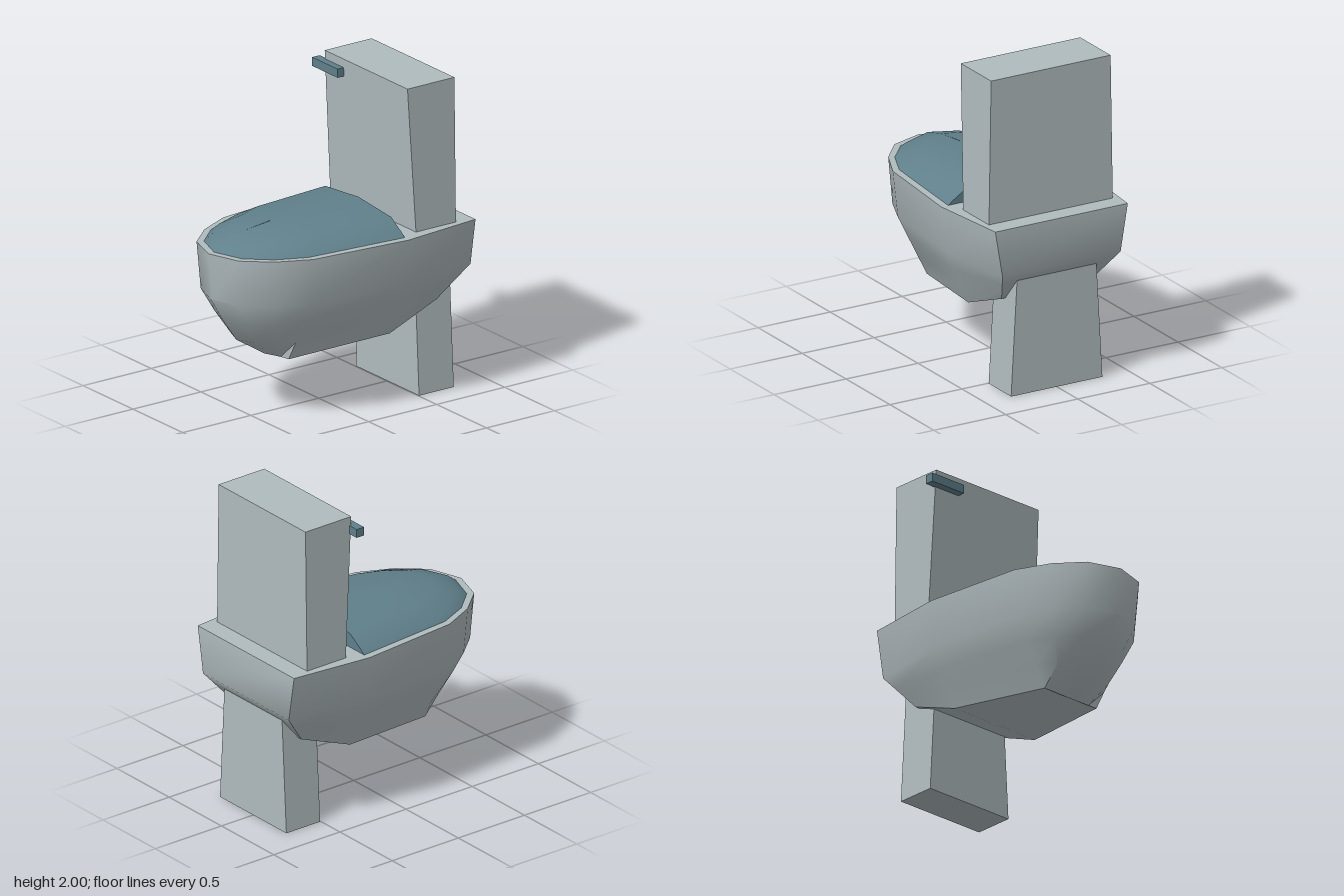
import * as THREE from 'three';
import { toCreasedNormals } from 'three/addons/utils/BufferGeometryUtils.js';

const ceramic = new THREE.MeshStandardMaterial({ color: 0xb0bbbe });
ceramic.name = 'pale ceramic';
const teal = new THREE.MeshStandardMaterial({ color: 0x60808b });
teal.name = 'muted teal';

// Lofts stacked half outlines, top row first. Each row runs from the +x back
// corner to the front centre and is mirrored to the -x side.
function loft(rows, crease) {
  const half = rows[0].length, n = half * 2 - 1;
  const pos = [], index = [];
  for (const row of rows) {
    for (let j = 0; j < n; j++) {
      const [x, y, z] = row[j < half ? j : n - 1 - j];
      pos.push(j < half ? x : -x, y, z);
    }
  }
  const quad = (a, b, c, d) => index.push(a, b, c, a, c, d);
  for (let r = 0; r < rows.length - 1; r++) {
    for (let j = 0; j < n; j++) {
      const k = (j + 1) % n, a = r * n, b = a + n;
      quad(a + j, a + k, b + k, b + j);
    }
  }
  // Caps join each point to its mirror image
  const low = (rows.length - 1) * n;
  for (let j = 0; j < half - 1; j++) {
    const m = n - 1 - j;
    if (j === half - 2) {
      index.push(j, m, j + 1, low + j, low + j + 1, low + m);
    } else {
      quad(j, m, m - 1, j + 1);
      quad(low + j, low + j + 1, low + m - 1, low + m);
    }
  }
  const geo = new THREE.BufferGeometry();
  geo.setAttribute('position', new THREE.Float32BufferAttribute(pos, 3));
  geo.setIndex(index);
  return toCreasedNormals(geo, crease);
}

// Box whose bottom and top faces are given as [half width, back z, front z]
function taperedBox(y0, y1, bottom, top) {
  const geo = new THREE.BoxGeometry(2, 1, 1);
  const p = geo.attributes.position;
  for (let i = 0; i < p.count; i++) {
    const up = p.getY(i) > 0;
    const [w, back, front] = up ? top : bottom;
    p.setXYZ(i, p.getX(i) * w, up ? y1 : y0, p.getZ(i) > 0 ? front : back);
  }
  return toCreasedNormals(geo, 0.5);
}

function bowlGeometry() {
  const rim = [[0.46, -0.815], [0.515, -0.285], [0.45, 0.37], [0.35, 0.585], [0.21, 0.745], [0, 0.813]]
    .map(([x, z]) => [x, 1.09, z]);
  const waist = [[0.41, -0.815], [0.48, -0.285], [0.42, 0.36], [0.33, 0.57], [0.195, 0.725], [0, 0.792]]
    .map(([x, z]) => [x, 0.795, z]);
  const base = [[0.31, 0.58, -0.64], [0.325, 0.445, -0.285], [0.21, 0.39, 0.375],
    [0.14, 0.385, 0.38], [0.07, 0.378, 0.39], [0, 0.37, 0.4]];
  // The belly bulges forward toward the front centre
  const between = (t, bulge) => waist.map((p, j) => {
    const amount = bulge * [0, 0, 0, 0.5, 0.85, 1][j];
    const [x, y, z] = p.map((v, k) => v + (base[j][k] - v) * t);
    return [x * (1 + amount), y, z + amount];
  });
  return loft([rim, waist, between(0.34, 0.05), between(0.69, 0.085), base], 0.7);
}

function lidGeometry() {
  const back = -0.29;
  const outline = [[0.467, back], [0.405, 0.37], [0.32, 0.56], [0.19, 0.705], [0, 0.77]];
  // [width scale, length scale, height at back, height at front]
  const rows = [[0, 0.62, 1.21, 1.2], [0.71, 0.8, 1.18, 1.178],
    [0.93, 0.943, 1.115, 1.138], [1, 1, 1.09, 1.09]];
  return loft(rows.map(([sx, sz, yb, yf]) => outline.map(([x, z], j) =>
    [x * sx, yb + (yf - yb) * j / 4, back + (z - back) * sz])), 0.7);
}

export function createModel() {
  const group = new THREE.Group();
  group.name = 'toilet';
  const add = (name, geometry, material) => {
    const mesh = new THREE.Mesh(geometry, material);
    mesh.name = name;
    group.add(mesh);
    return mesh;
  };
  add('bowl', bowlGeometry(), ceramic);
  add('lid', lidGeometry(), teal);
  add('tank', taperedBox(1.08, 2, [0.43, -0.693, -0.4], [0.415, -0.693, -0.348]), ceramic);
  add('pedestal', taperedBox(0, 0.74, [0.317, -0.76, -0.505], [0.275, -0.76, -0.505]), ceramic);
  add('flushHandle', new THREE.BoxGeometry(0.255, 0.055, 0.055), teal).position.set(-0.357, 1.917, -0.334);
  return group;
}
